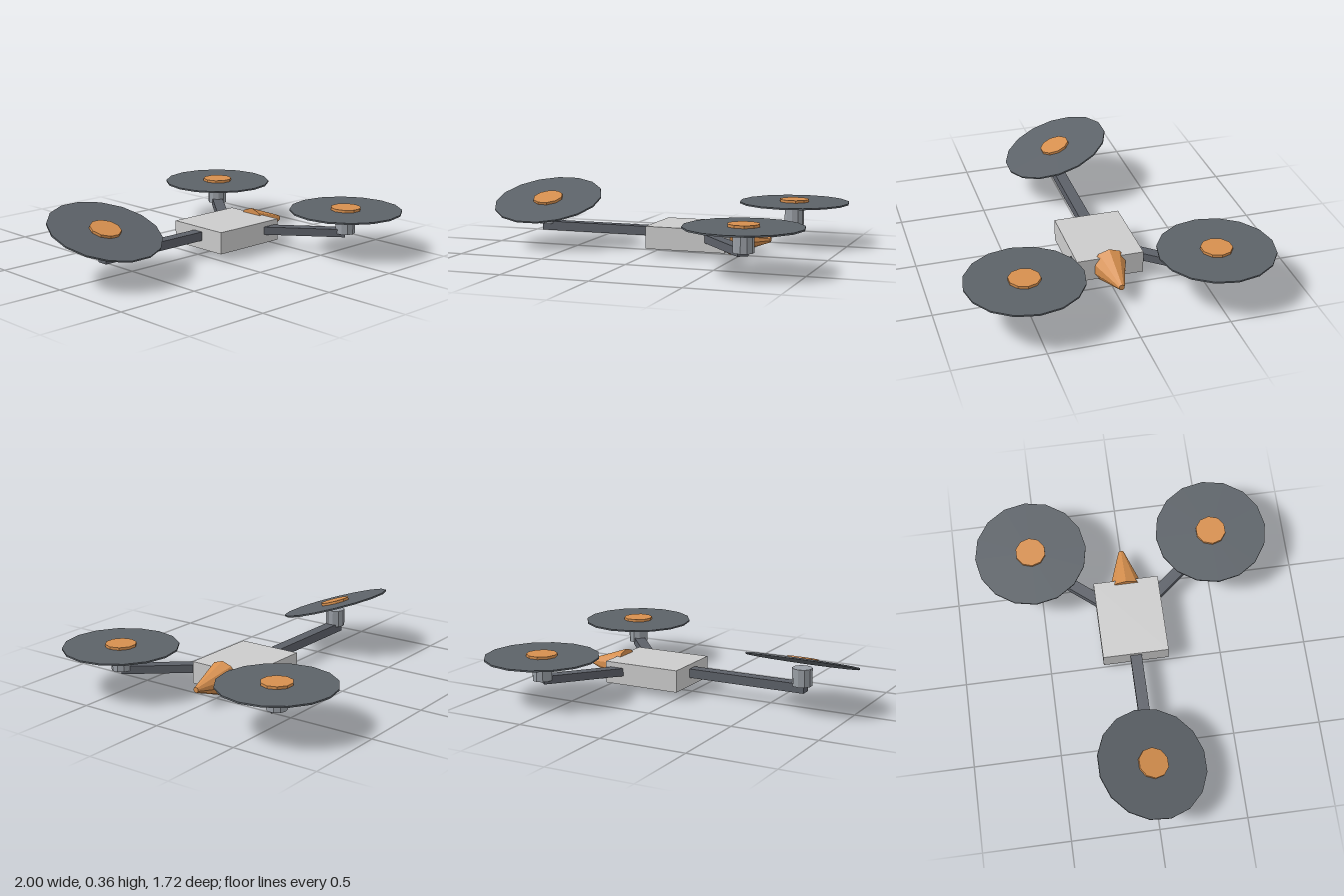
import * as THREE from 'three';

const mat = (color) => new THREE.MeshStandardMaterial({ color, flatShading: true });

export function createModel() {
  const model = new THREE.Group();
  const bodyMat = mat(0xcccccc);
  const armMat = mat(0x5c6068);
  const discMat = mat(0x5c6268);
  const motorMat = mat(0x9a9fa6);
  const accentMat = mat(0xd68f4e);

  const add = (parent, name, geometry, material, x = 0, y = 0, z = 0) => {
    const mesh = new THREE.Mesh(geometry, material);
    mesh.name = name;
    mesh.position.set(x, y, z);
    parent.add(mesh);
    return mesh;
  };

  // central box
  add(model, 'body', new THREE.BoxGeometry(0.465, 0.127, 0.38), bodyMat, 0.2325, 0.102, 0);

  // blunt-tipped cone pointing along +x
  const nose = add(model, 'noseCone', new THREE.CylinderGeometry(0.016, 0.1, 0.235, 10), accentMat, 0.557, 0.1, 0);
  nose.rotation.set(0, Math.PI / 2, -Math.PI / 2, 'ZYX');

  // square beam between two points in plan
  const addArm = (name, x0, z0, x1, z1, y, height, width) => {
    const length = Math.hypot(x1 - x0, z1 - z0);
    const arm = add(model, name, new THREE.BoxGeometry(length, height, width), armMat,
      (x0 + x1) / 2, y, (z0 + z1) / 2);
    arm.rotation.y = -Math.atan2(z1 - z0, x1 - x0);
  };

  // motor can with a spinning disc and hub floating above it
  const addRotor = (name, { x, z, motorBottom, motorHeight, discY, radius, tilt = 0, spin = 0 }) => {
    add(model, name + 'Motor', new THREE.CylinderGeometry(0.057, 0.057, motorHeight, 10), motorMat,
      x, motorBottom + motorHeight / 2, z);
    const rotor = new THREE.Group();
    rotor.name = name + 'Rotor';
    rotor.position.set(x, discY, z);
    rotor.rotation.x = tilt;
    const disc = add(rotor, name + 'Disc', new THREE.CylinderGeometry(radius, radius, 0.009, 16), discMat);
    disc.rotation.y = spin;
    const hub = add(rotor, name + 'Hub', new THREE.CylinderGeometry(0.088, 0.088, 0.018, 10), accentMat, 0, 0.0105, 0);
    hub.rotation.y = Math.PI / 2;
    model.add(rotor);
  };

  // forward pair, mirrored across z
  for (const [name, side] of [['near', 1], ['far', -1]]) {
    addArm(name + 'Arm', 0.3, 0.08 * side, 0.672, 0.534 * side, 0.113, 0.046, 0.064);
    addRotor(name, {
      x: 0.673, z: 0.533 * side, motorBottom: 0.11, motorHeight: 0.096,
      discY: 0.244, radius: 0.325,
    });
  }

  // tail arm with its tilted rotor
  addArm('tailArm', 0.02, 0, -0.71, 0, 0.114, 0.052, 0.066);
  addRotor('tail', {
    x: -0.687, z: 0, motorBottom: 0.126, motorHeight: 0.1,
    discY: 0.264, radius: 0.319, tilt: 0.31, spin: Math.PI / 16,
  });

  return model;
}
